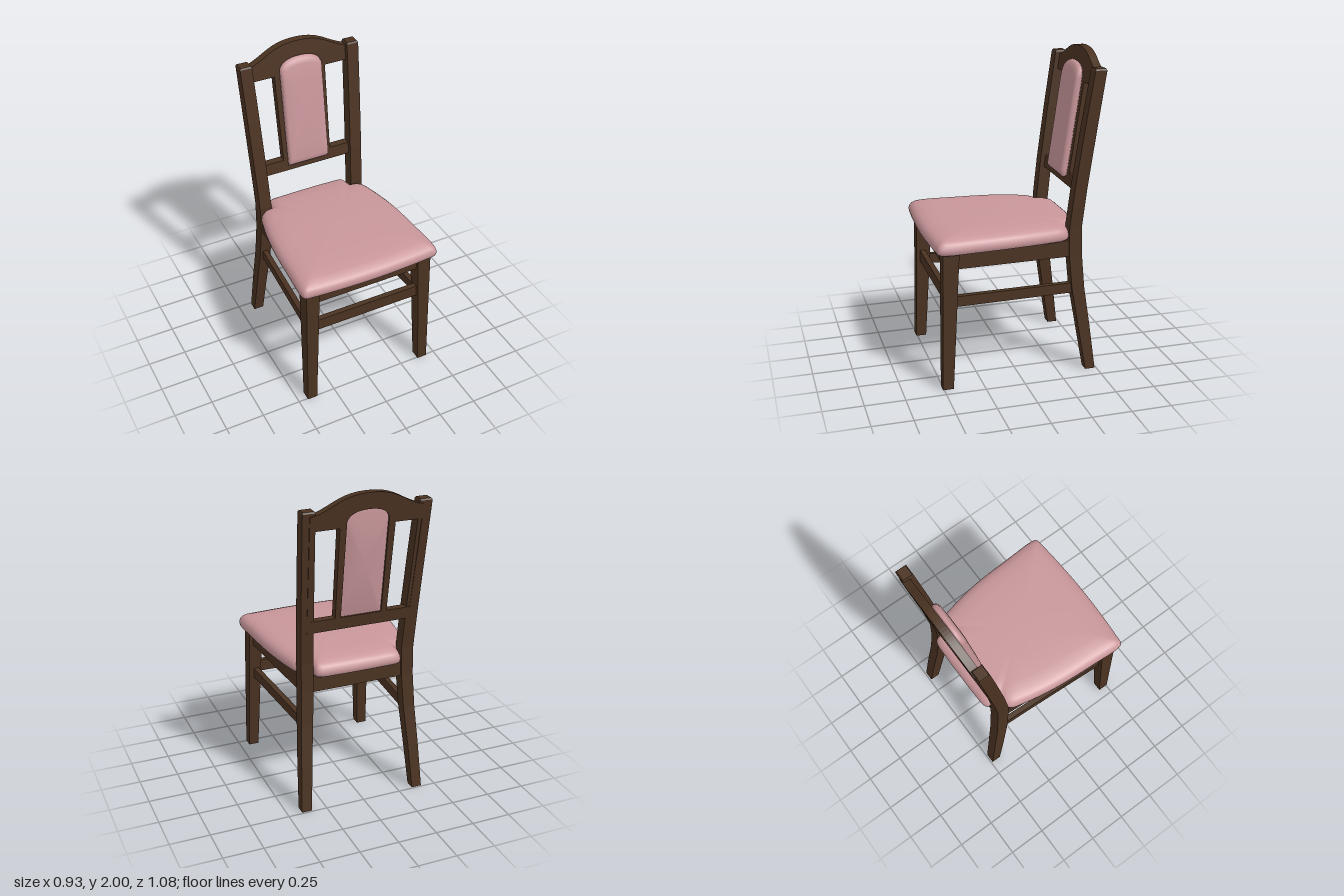
import * as THREE from 'three';

const wood = new THREE.MeshStandardMaterial({ color: 0x4a3221 });
wood.name = 'dark wood';
const fabric = new THREE.MeshStandardMaterial({ color: 0xc8969a });
fabric.name = 'pink upholstery';

export function createModel() {
  const chair = new THREE.Group();
  chair.name = 'chair';

  const add = (name, geometry, material) => {
    const mesh = new THREE.Mesh(geometry, material);
    mesh.name = name;
    chair.add(mesh);
    return mesh;
  };

  // Upright post through rectangular sections [y, x0, x1, z0, z1], bottom to top
  const post = (name, sections, side) => {
    const box = new THREE.BoxGeometry(1, 1, 1, 1, sections.length - 1, 1);
    const p = box.attributes.position;
    for (let i = 0; i < p.count; i++) {
      const k = Math.round((p.getY(i) + 0.5) * (sections.length - 1));
      const [y, x0, x1, z0, z1] = sections[k];
      const [left, right] = side > 0 ? [x0, x1] : [-x1, -x0];
      p.setXYZ(i, p.getX(i) < 0 ? left : right, y, p.getZ(i) < 0 ? z0 : z1);
    }
    const geometry = box.toNonIndexed();
    geometry.computeVertexNormals();
    add(name, geometry, wood);
  };

  // Straight rail from a to b with a given height and thickness
  const rail = (name, a, b, height, thickness) => {
    const from = new THREE.Vector3(...a), to = new THREE.Vector3(...b);
    const mesh = add(name, new THREE.BoxGeometry(thickness, height, from.distanceTo(to)), wood);
    mesh.position.copy(from).lerp(to, 0.5);
    mesh.lookAt(to);
  };

  // Soft pad: a counterclockwise outline scaled about a centre through rings [scale, height]
  const pad = (name, outline, centre, rings, place) => {
    const n = outline.length, positions = [], index = [];
    rings.forEach(([s, h], r) => outline.forEach((q, j) => {
      positions.push(...place(centre[0] + (q.x - centre[0]) * s, centre[1] + (q.y - centre[1]) * s, h));
      if (r === rings.length - 1) return;
      const a = r * n + j, b = r * n + (j + 1) % n;
      index.push(a, b, a + n, b, b + n, a + n);
    }));
    const geometry = new THREE.BufferGeometry();
    geometry.setAttribute('position', new THREE.Float32BufferAttribute(positions, 3));
    geometry.setIndex(index);
    geometry.computeVertexNormals();
    add(name, geometry, fabric);
  };

  // Legs, side aprons and side stretchers
  for (const [side, label] of [[1, 'left'], [-1, 'right']]) {
    post(label + 'FrontLeg', [
      [0, 0.375, 0.44, 0.44, 0.507],
      [0.87, 0.34, 0.428, 0.39, 0.49],
    ], side);
    post(label + 'BackPost', [
      [0, 0.345, 0.41, -0.49, -0.427],
      [0.3, 0.325, 0.395, -0.452, -0.377],
      [0.55, 0.305, 0.38, -0.417, -0.337],
      [0.77, 0.292, 0.37, -0.4, -0.318],
      [0.95, 0.29, 0.37, -0.396, -0.317],
      [1.2, 0.298, 0.378, -0.423, -0.345],
      [1.55, 0.309, 0.388, -0.47, -0.393],
      [1.91, 0.32, 0.398, -0.52, -0.447],
      [1.92, 0.325, 0.393, -0.515, -0.453],
    ], side);
    rail(label + 'Apron', [side * 0.385, 0.82, 0.43], [side * 0.335, 0.808, -0.35], 0.105, 0.045);
    rail(label + 'Stretcher', [side * 0.385, 0.557, 0.43], [side * 0.34, 0.547, -0.36], 0.065, 0.035);
  }
  rail('frontApron', [-0.37, 0.82, 0.445], [0.37, 0.82, 0.445], 0.1, 0.045);
  rail('backApron', [-0.33, 0.81, -0.362], [0.33, 0.81, -0.362], 0.105, 0.045);
  rail('frontStretcher', [-0.38, 0.588, 0.455], [0.38, 0.588, 0.455], 0.077, 0.035);

  // Seat cushion, notched around the back posts
  const half = [
    [0.2, -0.541], [0.4, -0.528], [0.45, -0.52], [0.463, -0.49], [0.456, -0.3], [0.435, 0],
    [0.395, 0.22], [0.372, 0.295], [0.34, 0.323], [0.295, 0.335], [0.285, 0.375], [0.27, 0.42], [0.15, 0.432],
  ];
  const loop = [[0, -0.546], ...half, [0, 0.434], ...half.map(([x, v]) => [-x, v]).reverse()]
    .map(([x, v]) => new THREE.Vector3(x, v, 0));
  const seatOutline = new THREE.CatmullRomCurve3(loop, true).getPoints(112).slice(0, -1);
  pad('seatCushion', seatOutline, [0, -0.05], [
    [0, 0.87], [0.93, 0.87], [0.97, 0.872], [0.992, 0.88], [1, 0.9], [0.992, 0.92],
    [0.97, 0.938], [0.93, 0.953], [0.85, 0.967], [0.7, 0.975], [0.4, 0.98], [0, 0.98],
  ], (x, v, h) => [x, h - Math.max(0, v) * 0.03, -v]);

  // The backrest leans backward with height
  const lean = (y) => -0.375 - 0.142 * (y - 1.2);

  // Backrest frame: arched top rail, lower rail and two stiles in one pierced board
  const frame = new THREE.Shape();
  frame.moveTo(-0.34, 1.155);
  frame.lineTo(0.34, 1.155);
  frame.lineTo(0.355, 1.89);
  frame.lineTo(0.31, 1.9);
  frame.bezierCurveTo(0.2, 1.94, 0.16, 2, 0, 2);
  frame.bezierCurveTo(-0.16, 2, -0.2, 1.94, -0.31, 1.9);
  frame.lineTo(-0.355, 1.89);
  for (const s of [1, -1]) {
    frame.holes.push(new THREE.Path([[0.165, 1.232], [0.32, 1.232], [0.34, 1.802], [0.172, 1.802]]
      .map(([x, y]) => new THREE.Vector2(s * x, y))));
  }
  const panelOutline = (w, bottom, shoulder, top) => new THREE.Path()
    .moveTo(-w, bottom).lineTo(w, bottom).lineTo(w, shoulder)
    .bezierCurveTo(w * 0.85, top - 0.01, w * 0.4, top, 0, top)
    .bezierCurveTo(-w * 0.4, top, -w * 0.85, top - 0.01, -w, shoulder)
    .lineTo(-w, bottom);
  frame.holes.push(panelOutline(0.13, 1.232, 1.84, 1.9));
  const board = new THREE.ExtrudeGeometry(frame, { depth: 0.05, bevelEnabled: false, curveSegments: 16 });
  const p = board.attributes.position;
  for (let i = 0; i < p.count; i++) p.setZ(i, p.getZ(i) - 0.05 + lean(p.getY(i)));
  board.computeVertexNormals();
  add('backrestFrame', board, wood);

  // Backrest cushion: thin core filling the opening, with a padded front
  const core = panelOutline(0.134, 1.225, 1.842, 1.904).getSpacedPoints(72).slice(0, -1);
  pad('backrestPanel', core, [0, 1.56], [[0, -0.038], [1, -0.038], [1, 0]],
    (x, y, h) => [x, y, lean(y) + h]);
  const padOutline = panelOutline(0.14, 1.2, 1.85, 1.912).getSpacedPoints(72).slice(0, -1);
  pad('backrestCushion', padOutline, [0, 1.56], [
    [0, 0.002], [0.98, 0.002], [1, 0.012], [0.99, 0.026], [0.96, 0.037], [0.88, 0.045], [0.6, 0.05], [0, 0.052],
  ], (x, y, h) => [x, y, lean(y) + h]);

  return chair;
}
